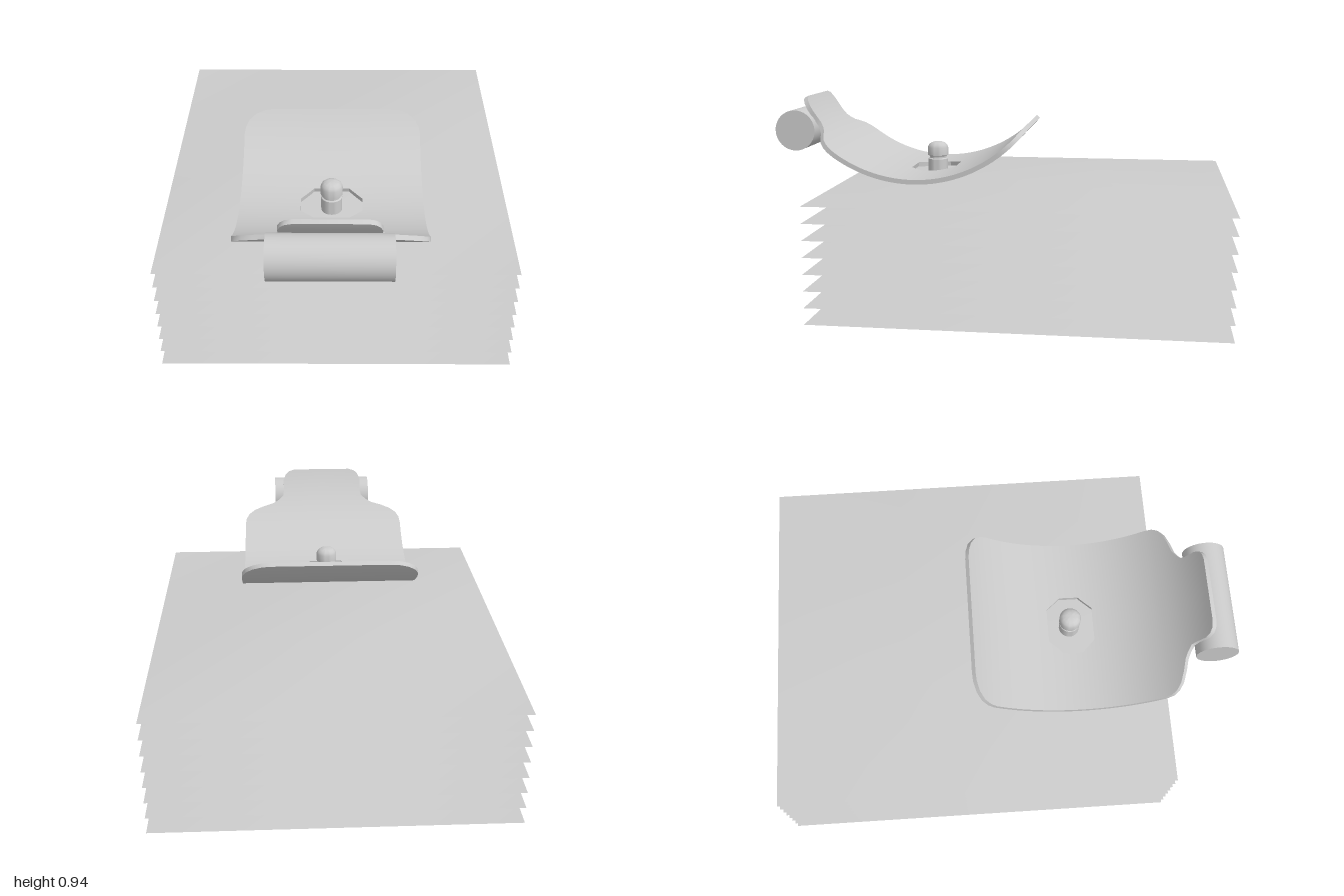
import * as THREE from 'three';
import { toCreasedNormals } from 'three/addons/utils/BufferGeometryUtils.js';

const grey = new THREE.MeshStandardMaterial({ color: 0xcccccc });
const greyDouble = new THREE.MeshStandardMaterial({ color: 0xcccccc, side: THREE.DoubleSide });
const MID_X = -0.02; // the clip, roller and rivet share this centre line

function part(name, geometry, material = grey) {
  const mesh = new THREE.Mesh(geometry, material);
  mesh.name = name;
  return mesh;
}

// One face of a pad: a 3 x 3 grid whose middle cell is pushed out by `rise`
function padFace(rise) {
  const g = new THREE.PlaneGeometry(1.48, 1.72, 3, 3);
  g.rotateX(rise > 0 ? -Math.PI / 2 : Math.PI / 2);
  const p = g.attributes.position;
  for (let i = 0; i < p.count; i++) {
    if (Math.abs(p.getX(i)) < 0.5 && Math.abs(p.getZ(i)) < 0.5) p.setY(i, rise);
  }
  g.computeVertexNormals();
  return g;
}

// Clip outline: [z, half width, half width of the hole]
const OUTLINE = [
  [-0.135, 0.26, 0], [-0.132, 0.3, 0], [-0.12, 0.342, 0], [-0.1, 0.373, 0],
  [-0.075, 0.388, 0], [-0.05, 0.393, 0],
  [0.21, 0.393, 0], [0.21, 0.393, 0.075], [0.275, 0.393, 0.132],
  [0.36, 0.393, 0.132], [0.42, 0.393, 0.075], [0.42, 0.393, 0],
  [0.69, 0.393, 0], [0.72, 0.388, 0], [0.742, 0.373, 0], [0.76, 0.345, 0],
  [0.775, 0.3, 0], [0.787, 0.25, 0], [0.8, 0.222, 0], [0.815, 0.2, 0],
  [0.83, 0.196, 0], [0.865, 0.196, 0], [0.88, 0.185, 0], [0.888, 0.168, 0], [0.892, 0.14, 0],
];

// Half of the curved clip: a rectangular section swept round an arc
function clipHalf(side) {
  const R = 0.615, THICK = 0.02, CY = 1.205, CZ = 0.34;
  const rows = [];
  OUTLINE.forEach((key, k) => {
    const next = OUTLINE[k + 1] || key;
    const steps = Math.max(1, Math.ceil((next[0] - key[0]) / 0.025));
    for (let s = 0; s < steps; s++) rows.push(key.map((v, j) => v + (next[j] - v) * s / steps));
  });
  const positions = [], index = [];
  for (const [z, w, h] of rows) {
    const t = Math.asin((z - CZ) / R);
    for (const [x, r] of [[h, R], [w, R], [w, R - THICK], [h, R - THICK]]) {
      positions.push(MID_X + side * x, CY - r * Math.cos(t), CZ + r * Math.sin(t));
    }
  }
  const quad = (a, b, c, d) => index.push(...(side > 0 ? [a, b, c, a, c, d] : [a, c, b, a, d, c]));
  for (let i = 0; i < rows.length - 1; i++) {
    for (let j = 0; j < 4; j++) {
      const k = (j + 1) % 4;
      quad(i * 4 + j, i * 4 + k, i * 4 + 4 + k, i * 4 + 4 + j);
    }
  }
  const last = (rows.length - 1) * 4;
  quad(0, 3, 2, 1);
  quad(last, last + 1, last + 2, last + 3);
  const g = new THREE.BufferGeometry();
  g.setAttribute('position', new THREE.Float32BufferAttribute(positions, 3));
  g.setIndex(index);
  return toCreasedNormals(g, 0.6);
}

export function createModel() {
  const model = new THREE.Group();
  model.name = 'clippedPadStack';

  // Eight pillow-shaped pads
  const stack = new THREE.Group();
  stack.name = 'padStack';
  for (let i = 0; i < 8; i++) {
    const pad = new THREE.Group();
    pad.name = 'pad' + (i + 1);
    pad.add(part('padTop', padFace(0.045)), part('padUnderside', padFace(-0.055)));
    pad.position.set(0, 0.065 + i * 0.07, -0.14);
    stack.add(pad);
  }
  model.add(stack);

  // Curved clip plate with an octagonal hole
  const clip = new THREE.Group();
  clip.name = 'curvedClip';
  clip.add(part('clipLeftHalf', clipHalf(1)), part('clipRightHalf', clipHalf(-1)));
  model.add(clip);

  // Roller in front of the clip's lip
  const roller = part('roller', new THREE.CylinderGeometry(0.09, 0.09, 0.48, 40));
  roller.rotation.z = Math.PI / 2;
  roller.position.set(MID_X, 0.795, 0.91);
  model.add(roller);

  // Rivet through the stack: hollow at the foot, grooved neck, domed head
  const profile = [
    [0.045, 0], [0.045, 0.648], [0.039, 0.652], [0.039, 0.66], [0.047, 0.665],
    [0.047, 0.7], [0.042, 0.712], [0.032, 0.721], [0.017, 0.726], [0, 0.727],
  ].map(([r, y]) => new THREE.Vector2(r, y));
  const rivet = part('rivet', toCreasedNormals(new THREE.LatheGeometry(profile, 32), 0.7), greyDouble);
  rivet.position.set(MID_X, 0, 0.31);
  model.add(rivet);

  return model;
}
